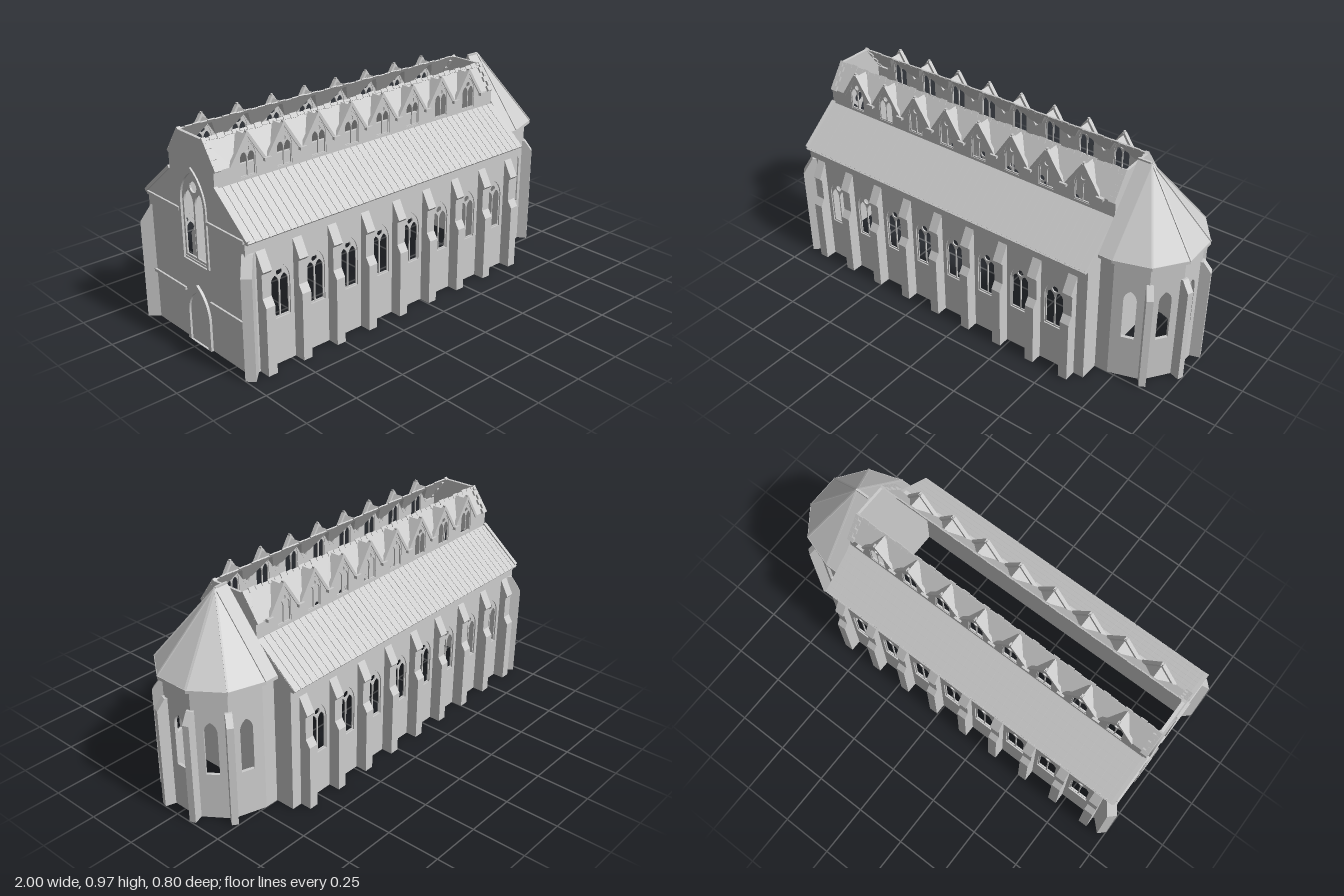
import * as THREE from 'three';
import { mergeGeometries } from 'three/addons/utils/BufferGeometryUtils.js';

const stone = new THREE.MeshStandardMaterial({ color: 0xcccccc, side: THREE.DoubleSide });
stone.name = 'pale stone';

const X0 = -0.96, X1 = 0.65;                 // nave ends
const BAYS = Array.from({ length: 8 }, (_, i) => -0.795 + i * 0.183);

function add(parent, name, geo, x = 0, y = 0, z = 0, ry = 0) {
  const m = new THREE.Mesh(geo, stone);
  m.name = name;
  m.position.set(x, y, z);
  m.rotation.y = ry;
  parent.add(m);
  return m;
}
const box = (w, h, d) => new THREE.BoxGeometry(w, h, d);
const poly = pts => new THREE.Shape(pts.map(p => new THREE.Vector2(p[0], p[1])));
const extrude = (shape, depth) =>
  new THREE.ExtrudeGeometry(shape, { depth, bevelEnabled: false, curveSegments: 7 });

// Draws a pointed arch outline into a Shape or Path
function arch(p, cx, y0, w, h) {
  const l = cx - w / 2, r = cx + w / 2, s = y0 + h - w * 0.866;
  p.moveTo(l, y0);
  p.lineTo(r, y0);
  p.lineTo(r, s);
  p.absarc(l, s, w, 0, Math.PI / 3, false);
  p.absarc(r, s, w, Math.PI * 2 / 3, Math.PI, false);
  p.lineTo(l, y0);
  return p;
}
const archHole = (...a) => arch(new THREE.Path(), ...a);
const archShape = (...a) => arch(new THREE.Shape(), ...a);

// Two lancets under a round eye
function tracery(w, h, depth) {
  const b = w * 0.06, lw = (w - 3 * b) / 2, s = archShape(0, 0, w, h);
  for (const k of [-1, 1]) s.holes.push(archHole(k * (lw + b) / 2, b, lw, h - 0.6 * w));
  const eye = new THREE.Path();
  eye.absarc(0, h - 0.42 * w, 0.15 * w, 0, Math.PI * 2, true);
  s.holes.push(eye);
  return extrude(s, depth);
}
function archRing(w, h, t, depth) {
  const s = archShape(0, 0, w, h);
  s.holes.push(archHole(0, 0, w - 2 * t, h - 1.6 * t));
  return extrude(s, depth);
}
// Profile is (distance outwards, height); angle runs from +x towards +z
function buttress(parent, name, profile, width, x, z, angle) {
  const g = extrude(poly(profile), width);
  g.translate(0, 0, -width / 2);
  add(parent, name, g, x, 0, z, -angle);
}
// Bar between two points
function bar(parent, name, a, b, w, h) {
  const A = new THREE.Vector3(...a), B = new THREE.Vector3(...b);
  const m = add(parent, name, box(w, h, A.distanceTo(B)));
  m.position.copy(A).add(B).multiplyScalar(0.5);
  m.lookAt(B);
}
function faces(tris) {
  const g = new THREE.BufferGeometry();
  g.setAttribute('position', new THREE.Float32BufferAttribute(tris.flat(2), 3));
  g.computeVertexNormals();
  return g;
}

// One long side of the nave, built for +z
function naveSide() {
  const g = new THREE.Group();
  const wall = poly([[X0, 0], [X1, 0], [X1, 0.6], [X0, 0.6]]);
  BAYS.forEach(c => wall.holes.push(archHole(c, 0.21, 0.1, 0.245)));
  add(g, 'aisleWall', extrude(wall, 0.015), 0, 0, 0.33);
  BAYS.forEach(c => add(g, 'windowTracery', tracery(0.1, 0.245, 0.006), c, 0.21, 0.333));
  const profile = [[-0.005, 0], [0.055, 0], [0.055, 0.31], [0.033, 0.345], [0.033, 0.45],
    [0.043, 0.462], [0, 0.54], [-0.005, 0.54]];
  for (let i = 0; i < 9; i++)
    buttress(g, 'buttress', profile, 0.045, -0.887 + i * 0.183, 0.345, Math.PI / 2);
  add(g, 'eavesCornice', box(X1 - X0, 0.014, 0.024), (X0 + X1) / 2, 0.593, 0.352);

  // tiled lean-to roof
  const roof = new THREE.Group();
  roof.name = 'aisleRoof';
  roof.position.set((X0 + X1) / 2, 0.672, 0.2625);
  roof.rotation.x = Math.atan2(0.165, 0.205);
  const len = 0.263, rows = 7, cols = 46, tw = (X1 - X0) / cols, tl = len / rows, tiles = [];
  add(roof, 'roofDeck', box(X1 - X0, 0.008, len));
  for (let r = 0; r < rows; r++) for (let c = 0; c < cols; c++) {
    const t = box(tw * 0.94, 0.004, tl);
    t.rotateX(0.06);
    t.translate((c + 0.5) * tw - (X1 - X0) / 2, 0.006, (r + 0.5) * tl - len / 2);
    tiles.push(t);
  }
  add(roof, 'roofTiles', mergeGeometries(tiles));
  g.add(roof);

  // clerestory wall with a row of gables
  const top = [[X0, 0.735], [X1, 0.735], [X1, 0.83]];
  [...BAYS].reverse().forEach(c => top.push([c + 0.075, 0.83], [c, 0.945], [c - 0.075, 0.83]));
  top.push([X0, 0.83]);
  const upper = poly(top);
  BAYS.forEach(c => upper.holes.push(archHole(c, 0.77, 0.08, 0.15)));
  add(g, 'clerestoryWall', extrude(upper, 0.012), 0, 0, 0.148);

  // gable roofs and the broken main roof between them
  const tris = [], low = x => [x, 0.83, 0.16], high = x => [x, 0.945, 0.083];
  const slope = (a, b, c, d) => tris.push([low(a), low(b), high(c)], [low(b), high(d), high(c)]);
  slope(X0, BAYS[0] - 0.075, X0, BAYS[0]);
  BAYS.forEach((c, i) => {
    const ridge = [c, 0.945, 0.16];
    tris.push([low(c - 0.075), ridge, high(c)], [ridge, low(c + 0.075), high(c)]);
    if (i < 7) slope(c + 0.075, BAYS[i + 1] - 0.075, c, BAYS[i + 1]);
    else slope(c + 0.075, X1, c, X1);
    add(g, 'gableTracery', tracery(0.08, 0.15, 0.006), c, 0.77, 0.151);
    for (const k of [-1, 1])
      bar(g, 'gableCoping', [c + k * 0.083, 0.827, 0.156], [c, 0.953, 0.156], 0.018, 0.013);
    add(g, 'finial', box(0.008, 0.02, 0.012), c, 0.953, 0.156);
  });
  add(g, 'upperRoof', faces(tris));
  for (let i = 0; i < 8; i++)
    add(g, 'gutterStone', box(0.035, 0.014, 0.025), BAYS[i] + 0.0915, 0.825, 0.163);

  // ragged tiles along the broken edge
  for (let i = 0, n = 44; i < n; i++) {
    const l = 0.01 + 0.012 * ((i * 7 % 5) / 4);
    const t = add(g, 'brokenTile', box(0.034, 0.006, l), X0 + (i + 0.5) * (X1 - X0) / n, 0.942, 0.087);
    t.rotation.x = 0.98;
  }
  // stepped verge stones at both ends
  for (const [x, k] of [[X0, 1], [X1, -1]]) for (let i = 0; i < 6; i++) {
    const w = i % 2 ? 0.018 : 0.032, t = i / 5;
    const m = add(g, 'vergeStone', box(w, 0.016, 0.024), x + k * w / 2, 0.838 + t * 0.1, 0.158 - t * 0.07);
    m.rotation.x = 0.98;
  }
  return g;
}

function westFront(g) {
  const half = [[0.345, 0], [0.345, 0.6], [0.16, 0.75], [0.16, 0.825], [0.08, 0.945]];
  const outline = [...half, ...half.map(([z, y]) => [-z, y]).reverse()];
  add(g, 'eastWall', extrude(poly(outline), 0.012), X1, 0, 0, -Math.PI / 2);
  const wall = poly(outline), turn = -Math.PI / 2;
  wall.holes.push(archHole(0, 0.39, 0.17, 0.4));
  add(g, 'westWall', extrude(wall, 0.015), -0.945, 0, 0, turn);
  add(g, 'westTracery', tracery(0.17, 0.4, 0.008), -0.948, 0.39, 0, turn);
  add(g, 'westWindowFrame', archRing(0.194, 0.424, 0.014, 0.01), -0.958, 0.382, 0, turn);
  add(g, 'doorFrame', archRing(0.17, 0.28, 0.02, 0.014), -0.958, 0, 0, turn);
  add(g, 'door', extrude(archShape(0, 0, 0.13, 0.25), 0.004), -0.958, 0, 0, turn);
  for (const k of [-1, 1]) {
    add(g, 'stringCourse', box(0.012, 0.014, 0.25), -0.963, 0.23, k * 0.215);
    add(g, 'upperStringCourse', box(0.012, 0.014, 0.245), -0.963, 0.595, k * 0.2225);
    bar(g, 'westCoping', [-0.957, 0.6, k * 0.362], [-0.957, 0.765, k * 0.16], 0.018, 0.014);
    buttress(g, 'cornerButtress', [[-0.02, 0], [0.05, 0], [0.05, 0.46], [0, 0.54], [-0.02, 0.54]],
      0.045, -0.95, k * 0.345, k * Math.PI * 0.75);
  }
}

// Polygonal east end: half of a decagon plus a short straight bay
function apse(g) {
  const cx = 0.715, R = 0.25, side = 2 * R * Math.sin(Math.PI / 10), ap = R * Math.cos(Math.PI / 10);
  for (let i = -2; i <= 2; i++) {
    const a = i * Math.PI / 5, s = poly([[-side / 2, 0], [side / 2, 0], [side / 2, 0.625], [-side / 2, 0.625]]);
    s.holes.push(archHole(0, 0.22, 0.058, 0.255));
    const r = ap - 0.015;
    add(g, 'apseWall', extrude(s, 0.015), cx + r * Math.cos(a), 0, r * Math.sin(a), Math.PI / 2 - a);
  }
  for (const k of [-1, 1])
    add(g, 'apseSideWall', box(cx - X1, 0.625, 0.012), (X1 + cx) / 2, 0.3125, k * 0.244);
  for (const d of [-54, -18, 18, 54]) {
    const a = d * Math.PI / 180;
    buttress(g, 'apseButtress', [[-0.02, 0], [0.044, 0], [0.044, 0.48], [0.008, 0.53], [-0.02, 0.53]],
      0.03, cx + R * Math.cos(a), R * Math.sin(a), a);
  }
  // eaves plate, roof faces and hip ribs
  const rim = r => [[X1, -r], ...[-90, -54, -18, 18, 54, 90].map(d =>
    [cx + r * Math.cos(d * Math.PI / 180), r * Math.sin(d * Math.PI / 180)]), [X1, r]];
  const eaves = extrude(poly(rim(0.276)), 0.015);
  eaves.rotateX(Math.PI / 2);
  add(g, 'apseEaves', eaves, 0, 0.637, 0);
  const pts = rim(0.274).map(([x, z]) => [x, 0.637, z]), apex = [cx, 0.965, 0], back = [X1, 0.965, 0];
  const tris = [[pts[0], pts[7], back]];
  for (let i = 0; i < 7; i++) tris.push([pts[i], apex, pts[i + 1]]);
  tris.push([pts[0], back, apex], [pts[7], apex, back]);
  add(g, 'apseRoof', faces(tris));
  pts.slice(1, 7).forEach(p => bar(g, 'roofRib', p, apex, 0.008, 0.008));
  bar(g, 'roofRidge', back, apex, 0.01, 0.008);
}

export function createModel() {
  const model = new THREE.Group();
  model.name = 'ruinedChurch';
  for (const k of [1, -1]) {
    const s = naveSide();
    s.name = k > 0 ? 'naveFrontSide' : 'naveBackSide';
    s.scale.z = k;
    model.add(s);
  }
  westFront(model);
  apse(model);
  return model;
}
